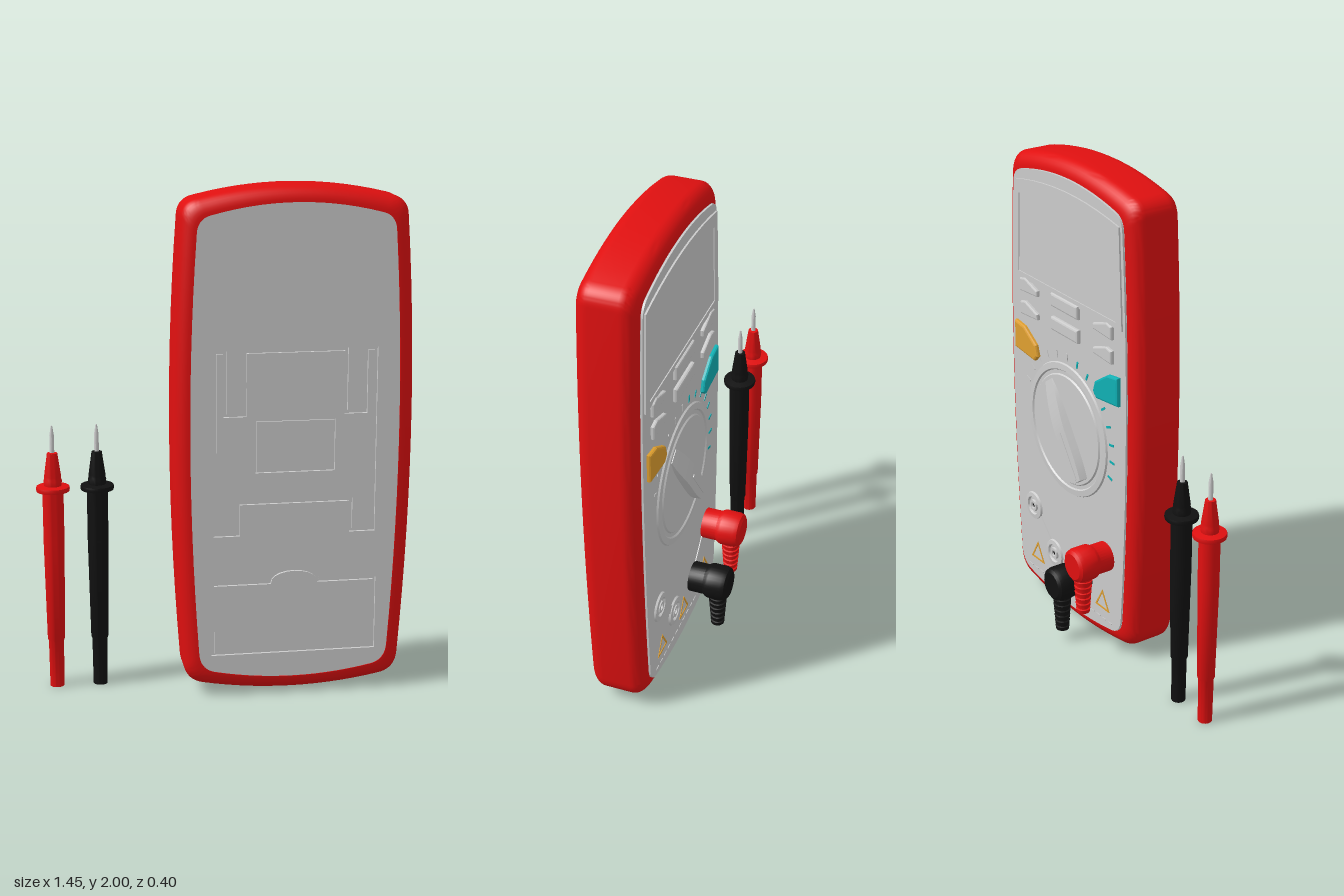
import * as THREE from 'three';
import { toCreasedNormals } from 'three/addons/utils/BufferGeometryUtils.js';

const GREY = 0xcccccc, RED = 0xe01010, BLACK = 0x111111, AMBER = 0xe0a030, TEAL = 0x10b0b4;
const CX = 0.255, MID = 1.005;

function add(parent, name, geo, color, x = 0, y = 0, z = 0) {
  const m = new THREE.Mesh(geo, new THREE.MeshStandardMaterial({ color }));
  m.name = name;
  m.position.set(x, y, z);
  parent.add(m);
  return m;
}
const vecs = (list) => list.map(([x, y]) => new THREE.Vector2(x, y));
const mirror = (list, s) => list.map(([x, y]) => [x * s, y]);
const rect = (x0, y0, x1, y1) => vecs([[x0, y0], [x1, y0], [x1, y1], [x0, y1]]);

// Moves every edge of a counter-clockwise polygon inwards by d
function inset(pts, d) {
  return pts.map((p, i) => {
    const a = pts[(i + pts.length - 1) % pts.length], b = pts[(i + 1) % pts.length];
    const u = p.clone().sub(a).normalize(), v = b.clone().sub(p).normalize();
    const n1 = new THREE.Vector2(-u.y, u.x), n2 = new THREE.Vector2(-v.y, v.x);
    return p.clone().add(n1.clone().add(n2).multiplyScalar(d / (1 + n1.dot(n2))));
  });
}

// Flat slab from z0 to z1, with optional holes and bevelled top edge
function slab(pts, z0, z1, holes = [], bevel = 0) {
  const shape = new THREE.Shape(pts);
  shape.holes = holes.map((h) => new THREE.Path(h));
  return new THREE.ExtrudeGeometry(shape, {
    depth: z1 - z0 - bevel, bevelEnabled: bevel > 0, bevelSize: bevel, bevelOffset: -bevel,
    bevelThickness: bevel, bevelSegments: 2, curveSegments: 8,
  }).translate(0, 0, z0);
}

// Lathe around y from [radius, height] pairs, with crisp edges
function turned(profile, segs = 32) {
  return toCreasedNormals(new THREE.LatheGeometry(vecs(profile), segs), 0.6);
}

// Bowed case outline, counter-clockwise
function caseOutline() {
  const s = new THREE.Shape();
  s.moveTo(-0.36, 0.045);
  s.quadraticCurveTo(0, -0.025, 0.36, 0.045);
  s.quadraticCurveTo(0.425, 0.06, 0.43, 0.13);
  s.quadraticCurveTo(0.5, 1.05, 0.435, 1.88);
  s.quadraticCurveTo(0.432, 1.942, 0.37, 1.955);
  s.quadraticCurveTo(0, 2.045, -0.37, 1.955);
  s.quadraticCurveTo(-0.432, 1.942, -0.435, 1.88);
  s.quadraticCurveTo(-0.5, 1.05, -0.43, 0.13);
  s.quadraticCurveTo(-0.425, 0.06, -0.36, 0.045);
  const pts = s.getPoints(14);
  pts.pop();
  return pts;
}
const shrink = (pts, d) => pts.map((p) =>
  new THREE.Vector2(p.x * (1 - d / 0.467), MID + (p.y - MID) * (1 - d / 0.995)));

// Rounded rubber holster, lofted through shrinking outlines
function holster(outline) {
  const R = 0.06, prof = [[R, 0]];
  for (let i = 0; i <= 8; i++) {
    const a = (i / 8) * Math.PI / 2;
    prof.push([R * (1 - Math.sin(a)), -0.03 + R * (1 - Math.cos(a))]);
  }
  for (let i = 0; i <= 8; i++) {
    const a = (i / 8) * Math.PI / 2;
    prof.push([R * (1 - Math.cos(a)), 0.2 - R * (1 - Math.sin(a))]);
  }
  prof.push([R, 0.17]);
  const pos = [], idx = [], n = outline.length;
  prof.forEach(([d, z], i) => {
    shrink(outline, d).forEach((p) => pos.push(p.x, p.y, z));
    if (i === 0) return;
    for (let j = 0; j < n; j++) {
      const a = (i - 1) * n + j, b = (i - 1) * n + (j + 1) % n;
      idx.push(a, b, b + n, a, b + n, a + n);
    }
  });
  const g = new THREE.BufferGeometry();
  g.setAttribute('position', new THREE.Float32BufferAttribute(pos, 3));
  g.setIndex(idx);
  return toCreasedNormals(g, 0.6);
}

// Stand side: panel cut by narrow grooves around the stand and battery door
function buildStandSide(meter, outline) {
  const stand = vecs([[-0.317, 0.655], [-0.215, 0.655], [-0.215, 0.78], [0.215, 0.78], [0.215, 0.655],
    [0.317, 0.655], [0.317, 1.385], [0.267, 1.385], [0.267, 1.14], [0.202, 1.14], [0.202, 1.385],
    [-0.202, 1.385], [-0.202, 1.14], [-0.267, 1.14], [-0.267, 1.385], [-0.317, 1.385]]);
  const door = vecs([[-0.325, 0.17], [0.325, 0.17], [0.325, 0.465], [0.1, 0.465]]);
  for (let i = 1; i < 10; i++) {
    const a = (i / 10) * Math.PI;
    door.push(new THREE.Vector2(0.1 * Math.cos(a), 0.465 + 0.05 * Math.sin(a)));
  }
  door.push(...vecs([[-0.1, 0.465], [-0.325, 0.465]]));
  const window = rect(-0.155, 0.905, 0.155, 1.11);
  add(meter, 'standSidePanel', slab(shrink(outline, 0.058), 0.185, 0.197, [stand, door]), GREY);
  add(meter, 'foldingStand', slab(inset(stand, 0.012), 0.185, 0.197, [window]), GREY);
  add(meter, 'standLabel', slab(inset(window, 0.004), 0.185, 0.194), GREY);
  add(meter, 'batteryDoor', slab(inset(door, 0.01), 0.185, 0.197), GREY);
}

// Display and push buttons
function buildControls(face) {
  const arch = (w0, w1, y0, y1, rise) => {
    const pts = vecs([[-w0, y0], [w0, y0]]);
    for (let i = 0; i <= 10; i++) {
      const t = 1 - i / 5;
      pts.push(new THREE.Vector2(w1 * t, y1 + rise * (1 - t * t)));
    }
    return pts;
  };
  const glass = arch(0.345, 0.33, 1.47, 1.8, 0.035);
  add(face, 'displayBezel', slab(arch(0.385, 0.365, 1.445, 1.85, 0.04), 0.03, 0.045, [glass]), GREY);
  add(face, 'displayScreen', slab(glass, 0.03, 0.041), 0xe8e8e8);
  for (const y of [1.425, 1.325]) {
    add(face, 'centreButton', slab(rect(-0.095, y - 0.028, 0.095, y + 0.028), 0.03, 0.055, [], 0.008), GREY);
    for (const s of [-1, 1]) {
      const wedge = [[0.2, y - 0.026], [0.325, y - 0.034], [0.325, y + 0.02], [0.29, y + 0.028], [0.2, y - 0.002]];
      add(face, 'sideButton', slab(vecs(mirror(wedge, s)), 0.03, 0.053, [], 0.006), GREY);
    }
  }
  const key = [[0.37, 1.25], [0.3, 1.24], [0.215, 1.185], [0.2, 1.14], [0.225, 1.115], [0.37, 1.13]];
  for (const s of [-1, 1]) {
    add(face, 'colouredButton', slab(vecs(mirror(key, s)), 0.03, 0.055, [], 0.008), s < 0 ? AMBER : TEAL);
  }
}

// Rotary selector with wedge-shaped grip and scale marks
function buildDial(face) {
  const dial = new THREE.Group();
  dial.name = 'rotaryDial';
  dial.position.set(0, 0.89, 0.036);
  face.add(dial);
  const ring = turned([[0.285, 0], [0.28, 0.009], [0.255, 0.011], [0.25, 0.005], [0.235, 0.005],
    [0.23, 0.011], [0, 0.011]], 64).rotateX(Math.PI / 2);
  add(dial, 'dialDisc', ring, GREY);
  const grip = new THREE.BoxGeometry(0.095, 0.43, 0.044, 2, 10, 1);
  const p = grip.attributes.position;
  for (let i = 0; i < p.count; i++) {
    const t = p.getY(i) / 0.215, top = p.getZ(i) > 0;
    p.setX(i, p.getX(i) * (1 - 0.3 * Math.pow(Math.abs(t), 4)) * (top ? 0.85 : 1));
    p.setZ(i, top ? 0.044 - 0.03 * Math.pow(Math.max(0, t), 1.5) : 0);
  }
  add(dial, 'dialGrip', toCreasedNormals(grip, 0.5), GREY).rotation.z = 0.61;
  const line = add(dial, 'dialPointer', new THREE.BoxGeometry(0.012, 0.2, 0.006), GREY, 0.06, -0.086, 0.044);
  line.rotation.z = 0.61;
  for (let i = 0; i < 14; i++) {
    const a = 2.75 - i * 0.235;
    const tick = add(dial, 'scaleMark', new THREE.BoxGeometry(0.03, 0.009, 0.003), i > 5 ? TEAL : GREY,
      0.315 * Math.cos(a), 0.315 * Math.sin(a), 0.003);
    tick.rotation.z = a;
  }
}

// Open sockets, warning triangles and the two angled plugs
function buildSockets(face) {
  const spots = [[-0.267, 0.43], [-0.11, 0.27], [0.11, 0.27], [0.267, 0.43]];
  spots.forEach(([x, y]) => {
    const collar = turned([[0.062, 0], [0.058, 0.01], [0.04, 0.012], [0.036, 0.003], [0.026, 0.003],
      [0.024, 0.012], [0.013, 0.012], [0.012, 0.001]]).rotateX(Math.PI / 2);
    add(face, 'socket', collar, GREY, x, y, 0.036);
    add(face, 'socketHole', new THREE.CircleGeometry(0.013, 20), BLACK, x, y, 0.0395);
  });
  for (const s of [-1, 1]) {
    const web = add(face, 'socketBridge', new THREE.BoxGeometry(0.13, 0.035, 0.008), GREY, s * 0.189, 0.35, 0.038);
    web.rotation.z = s * 0.79;
  }
  for (const [x, y] of [[-0.245, 0.21], [0, 0.2], [0.245, 0.21]]) {
    const tri = vecs([[x - 0.05, y - 0.035], [x + 0.05, y - 0.035], [x, y + 0.052]]);
    add(face, 'warningTriangle', slab(tri, 0.036, 0.0405, [inset(tri, 0.007)]), AMBER);
  }
  for (let i = -7; i <= 7; i++) {
    add(face, 'borderDash', new THREE.BoxGeometry(0.025, 0.005, 0.003), GREY, i * 0.043, 0.13, 0.039);
  }
  [[2, BLACK], [3, RED]].forEach(([k, color]) => {
    const plug = new THREE.Group();
    plug.name = 'anglePlug';
    plug.position.set(spots[k][0], spots[k][1], 0);
    face.add(plug);
    add(plug, 'plugBody', turned([[0.062, 0.036], [0.062, 0.1], [0.07, 0.112], [0.072, 0.12], [0.072, 0.175],
      [0.067, 0.191], [0.054, 0.2], [0, 0.2]]).rotateX(Math.PI / 2), color);
    const relief = [[0, -0.22], [0.026, -0.22]];
    for (let i = 0; i < 6; i++) {
      const r = 0.027 + i * 0.0018, y = -0.22 + i * 0.026;
      relief.push([r, y + 0.001], [r + 0.002, y + 0.016], [r - 0.004, y + 0.018], [r - 0.004, y + 0.025]);
    }
    relief.push([0.042, -0.064], [0.042, 0]);
    add(plug, 'strainRelief', turned(relief, 24), color, 0, 0, 0.148);
  });
}

// Test probe: tapered handle, finger guard, nose and metal needle
function buildProbe(root, x, color) {
  const probe = new THREE.Group();
  probe.name = 'testProbe';
  probe.position.set(x, 0, -0.018);
  root.add(probe);
  add(probe, 'probeHandle', turned([[0, 0], [0.028, 0], [0.03, 0.19], [0.034, 0.2], [0.041, 0.6],
    [0.041, 0.805], [0.064, 0.808], [0.066, 0.817], [0.064, 0.826], [0.034, 0.83], [0.036, 0.85],
    [0.033, 0.858], [0.033, 0.868], [0.02, 0.96], [0, 0.962]]), color);
  add(probe, 'probeNeedle', turned([[0.009, 0.95], [0.009, 1.03], [0.003, 1.068], [0, 1.07]], 16), GREY);
}

export function createModel() {
  const root = new THREE.Group();
  root.name = 'multimeter';
  const meter = new THREE.Group();
  meter.name = 'meter';
  meter.position.x = CX;
  root.add(meter);
  const outline = caseOutline();
  add(meter, 'holster', holster(outline), RED);
  add(meter, 'core', slab(shrink(outline, 0.059), -0.03, 0.186), GREY);
  buildStandSide(meter, outline);

  // Control face, turned to look towards -z
  const face = new THREE.Group();
  face.name = 'controlFace';
  face.rotation.y = Math.PI;
  meter.add(face);
  add(face, 'facePanel', slab(shrink(outline, 0.06), 0.02, 0.038), GREY);
  buildControls(face);
  buildDial(face);
  buildSockets(face);

  buildProbe(root, -0.663, RED);
  buildProbe(root, -0.49, BLACK);
  return root;
}
